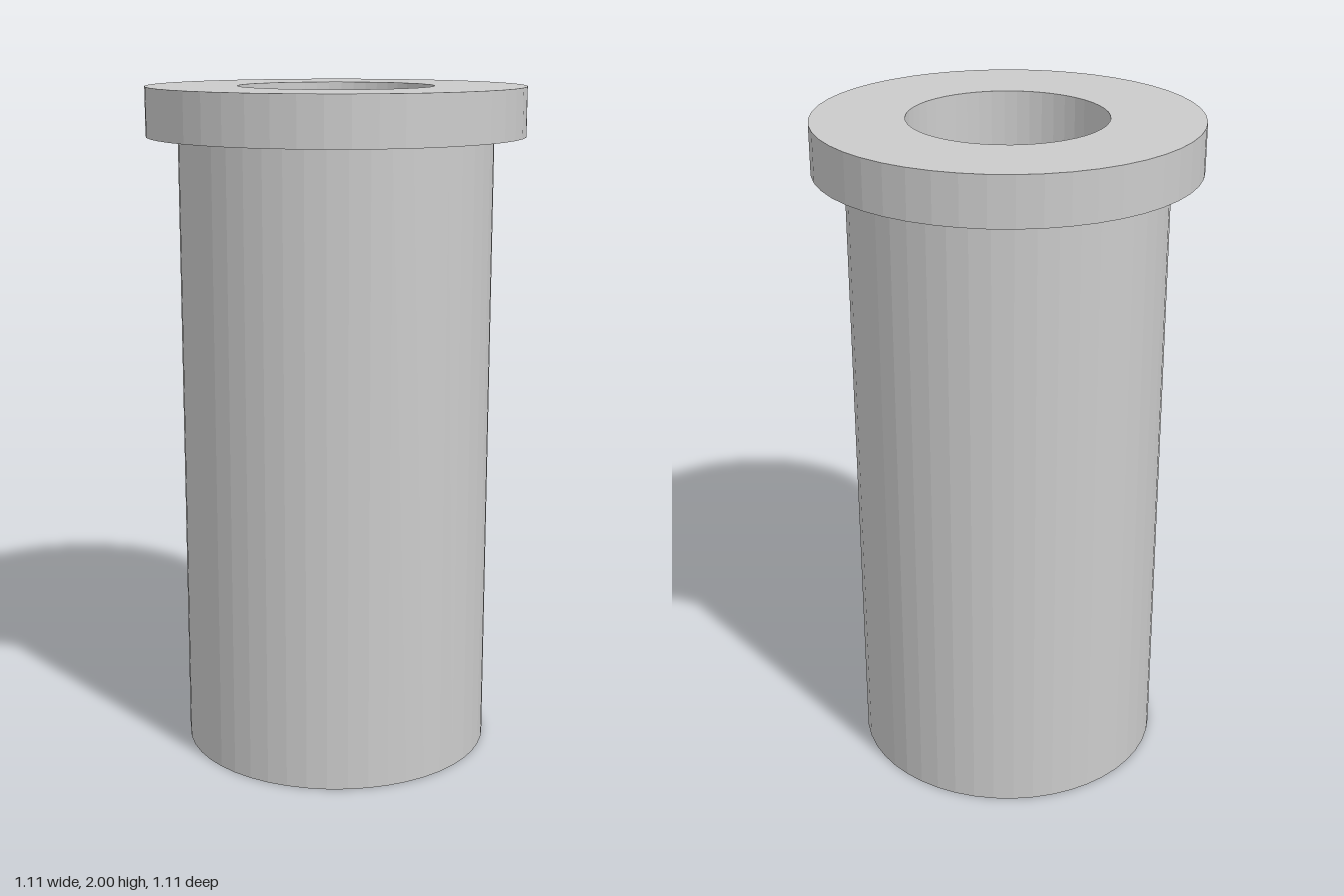
import * as THREE from 'three';

const SEGMENTS = 48;
const FLANGE_R = 0.555, BODY_R = 0.462, COUNTERBORE_R = 0.287, BORE_R = 0.231;
const TOP = 2, FLANGE_Y = 1.857, LEDGE_Y = 1.815;

const material = new THREE.MeshStandardMaterial({ color: 0xcccccc, flatShading: true });

// Revolves a profile of [radius, height] points; the solid lies to its left.
function turned(name, profile) {
  const points = profile.map(([r, y]) => new THREE.Vector2(r, y));
  const mesh = new THREE.Mesh(new THREE.LatheGeometry(points, SEGMENTS), material);
  mesh.name = name;
  return mesh;
}

export function createModel() {
  const group = new THREE.Group();
  group.name = 'flangedBushing';

  group.add(
    // Bottom ring and outer wall of the sleeve
    turned('sleeve', [[BORE_R, 0], [BODY_R, 0], [BODY_R, FLANGE_Y]]),
    // Collar: underside, rim and top face
    turned('flange', [[BODY_R, FLANGE_Y], [FLANGE_R, FLANGE_Y], [FLANGE_R, TOP], [COUNTERBORE_R, TOP]]),
    // Stepped through hole: counterbore, ledge and bore
    turned('bore', [[COUNTERBORE_R, TOP], [COUNTERBORE_R, LEDGE_Y], [BORE_R, LEDGE_Y], [BORE_R, 0]])
  );
  return group;
}
